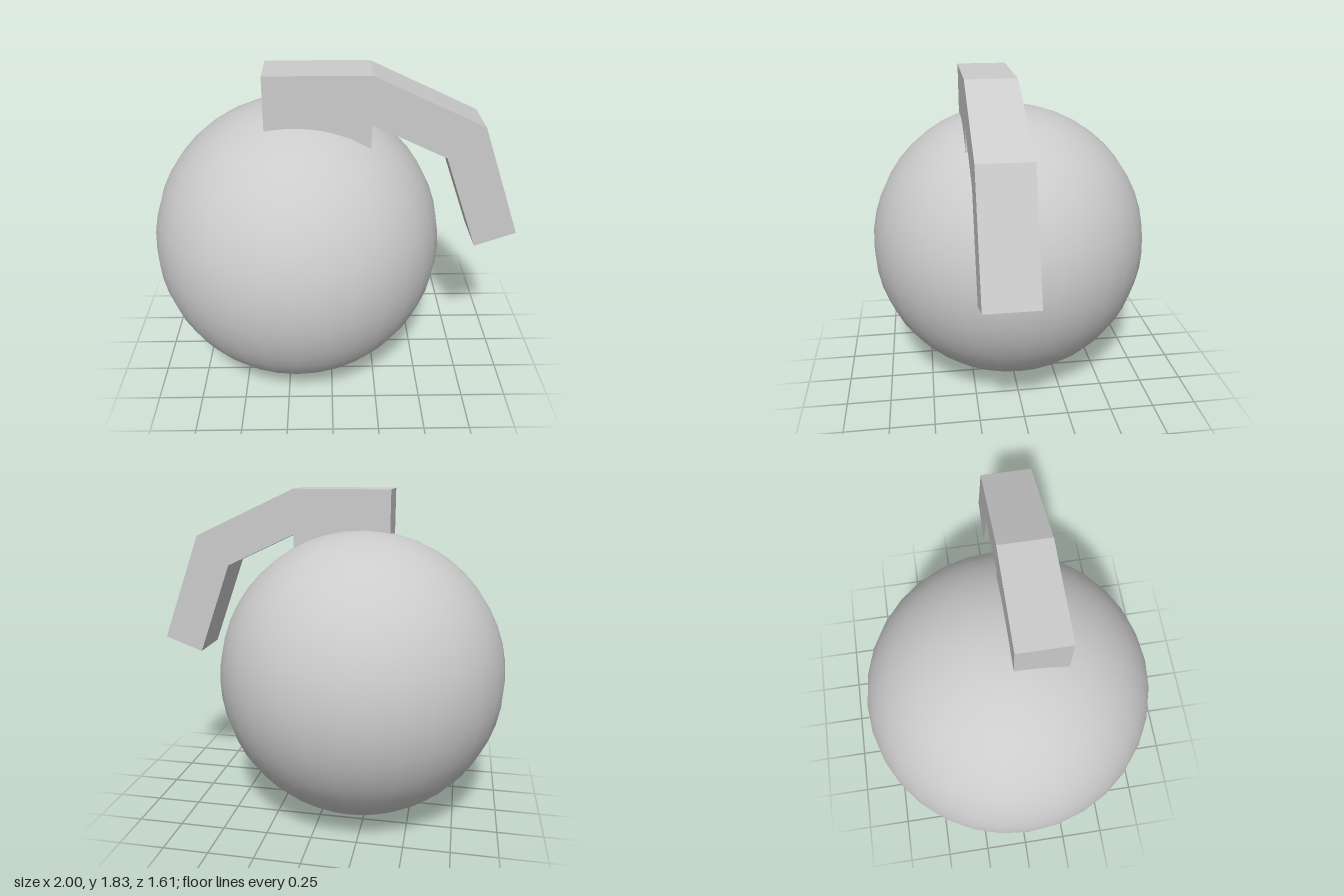
import * as THREE from 'three';

export function createModel() {
  const model = new THREE.Group();
  const material = new THREE.MeshStandardMaterial({ color: 0xcccccc });

  // Round body resting on the ground
  const radius = 0.807;
  const body = new THREE.Mesh(new THREE.SphereGeometry(radius, 32, 24), material);
  body.name = 'sphereBody';
  body.position.set(-0.193, radius, 0);
  model.add(body);

  // Bent arm: a mounting block sunk into the body, a sloping section and a drooping tip
  const outline = [
    [-0.34, 1.3], [0.2, 1.3], [0.2, 1.585], [0.59, 1.4], [0.78, 0.877],
    [1, 0.957], [0.773, 1.567], [0.2, 1.833], [-0.34, 1.833],
  ].map(([x, y]) => new THREE.Vector2(x, y));
  const arm = new THREE.Mesh(
    new THREE.ExtrudeGeometry(new THREE.Shape(outline), { depth: 0.27, bevelEnabled: false }),
    material
  );
  arm.name = 'bentArm';
  model.add(arm);

  return model;
}
